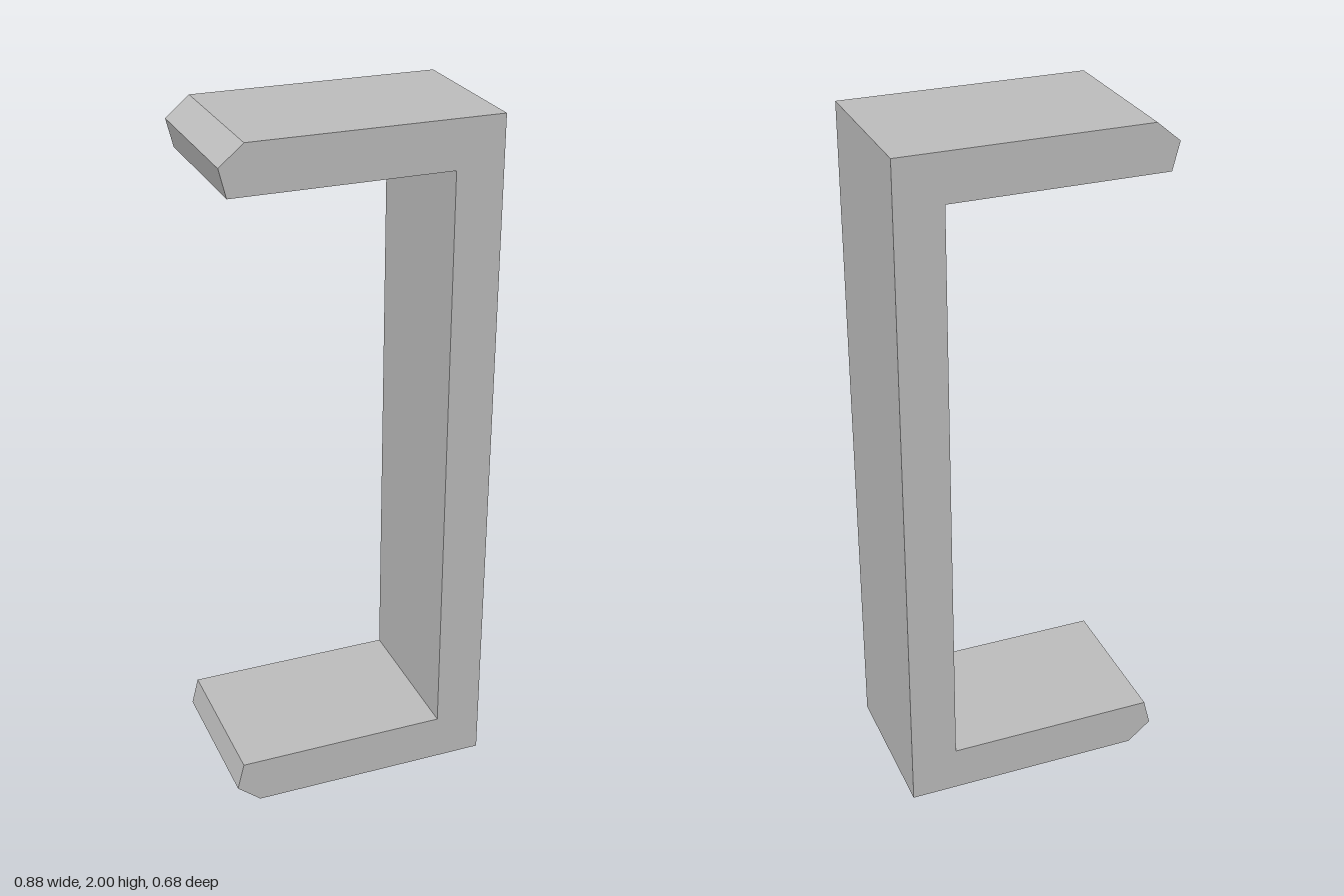
import * as THREE from 'three';

export function createModel() {
  const group = new THREE.Group();
  const grey = new THREE.MeshStandardMaterial({ color: 0xbebebe });
  grey.name = 'light grey';

  const half = 0.387, depth = 0.459, thick = 0.137;
  const inner = half - 0.136;

  // C-shaped profile: upright with two arms, mirrored about mid height
  const lowerHalf = [
    [inner, thick],
    [-half + 0.02, thick],
    [-half, 0.057],
    [-half + 0.068, 0],
    [half, 0],
  ];
  const upperHalf = lowerHalf.map(([x, y]) => [x, 2 - y]).reverse();
  const shape = new THREE.Shape(
    [...lowerHalf, ...upperHalf].map(([x, y]) => new THREE.Vector2(x, y))
  );

  const geometry = new THREE.ExtrudeGeometry(shape, { depth, bevelEnabled: false });
  geometry.translate(0, 0, -depth / 2);

  const bracket = new THREE.Mesh(geometry, grey);
  bracket.name = 'bracket';
  bracket.rotation.y = THREE.MathUtils.degToRad(18);
  group.add(bracket);
  return group;
}
